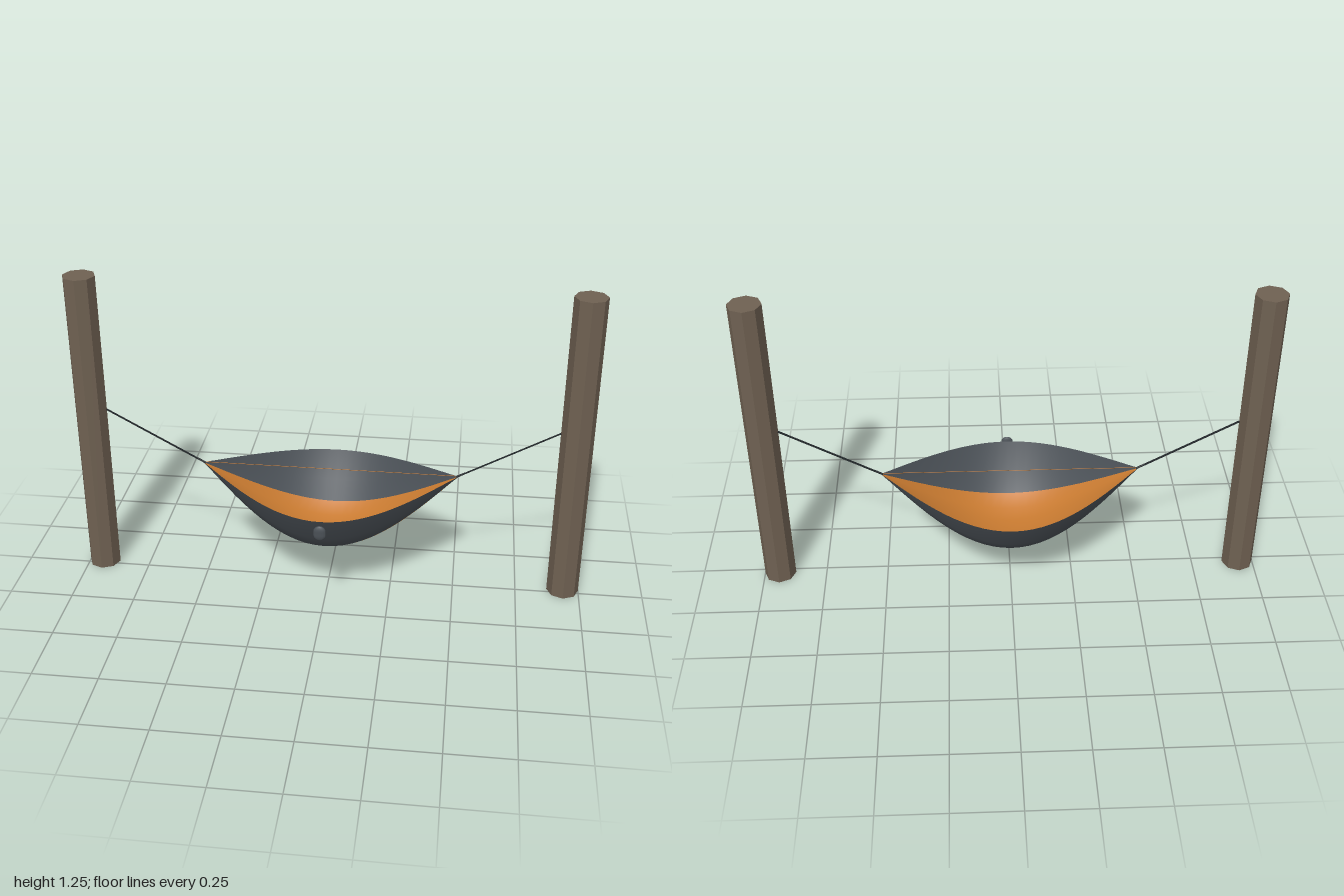
import * as THREE from 'three';

const Z0 = -0.02; // centre line of posts and hammock

const mat = (name, color, side = THREE.FrontSide) => {
  const m = new THREE.MeshStandardMaterial({ color, side });
  m.name = name;
  return m;
};

// Canopy-shaped sling: cubic cross-section that narrows to a point at both ends
function slingGeometry(nx = 28, ns = 10) {
  const pos = [], index = { side: [], middle: [] };
  for (let j = 0; j <= ns; j++) {
    const s = -1 + (2 * j) / ns;
    const depth = 0.293 - 0.227 * Math.abs(s) ** 3;
    for (let i = 0; i <= nx; i++) {
      const x = -0.5 + i / nx;
      const w = Math.max(0.006, Math.cos(Math.PI * x));
      pos.push(x, 0.49 - depth * w, Z0 + 0.29 * s * w);
    }
  }
  for (let j = 0; j < ns; j++) {
    const band = Math.abs(-1 + (2 * j + 1) / ns) < 0.6 ? index.middle : index.side;
    for (let i = 0; i < nx; i++) {
      const a = j * (nx + 1) + i, b = a + nx + 1;
      band.push(a, b, a + 1, a + 1, b, b + 1);
    }
  }
  const g = new THREE.BufferGeometry();
  g.setAttribute('position', new THREE.Float32BufferAttribute(pos, 3));
  g.setIndex([...index.side, ...index.middle]);
  g.addGroup(0, index.side.length, 0);
  g.addGroup(index.side.length, index.middle.length, 1);
  g.computeVertexNormals();
  return g;
}

export function createModel() {
  const group = new THREE.Group();
  const wood = mat('wood', 0x6f6152);
  wood.flatShading = true;
  const grey = mat('grey fabric', 0x4a5056, THREE.DoubleSide);
  const orange = mat('orange fabric', 0xc87a30, THREE.DoubleSide);
  const dark = mat('dark cord', 0x22272a, THREE.DoubleSide);

  const add = (name, geometry, material, x = 0, y = 0, z = Z0) => {
    const mesh = new THREE.Mesh(geometry, material);
    mesh.name = name;
    mesh.position.set(x, y, z);
    group.add(mesh);
    return mesh;
  };

  add('sling', slingGeometry(), [grey, orange], 0, 0, 0);

  // Fine ridge line between the two ends
  add('ridgeLine', new THREE.CylinderGeometry(0.001, 0.001, 1, 6), orange, 0, 0.492).rotation.z = Math.PI / 2;

  // Small stuff pouch hanging in front
  add('pouch', new THREE.CapsuleGeometry(0.024, 0.014, 4, 12), grey, 0, 0.394, 0.301).scale.z = 0.4;

  for (const side of [-1, 1]) {
    const name = side > 0 ? 'left' : 'right';
    add(name + 'Post', new THREE.CylinderGeometry(0.0625, 0.0625, 1.25, 8), wood, side * 0.9375, 0.625);

    // Flat webbing strap up to the post
    const dx = 0.37, dy = 0.205, angle = Math.atan2(dy, dx);
    const strap = add(name + 'Strap', new THREE.BoxGeometry(Math.hypot(dx, dy), 0.0015, 0.011), dark, side * 0.695, 0.6);
    strap.rotation.z = side * angle;

    // Gathered end of the sling
    const knot = add(name + 'Knot', new THREE.CylinderGeometry(0.004, 0.004, 0.036, 8), dark, side * 0.508, 0.497);
    knot.rotation.z = side * (angle - Math.PI / 2);
  }
  return group;
}
